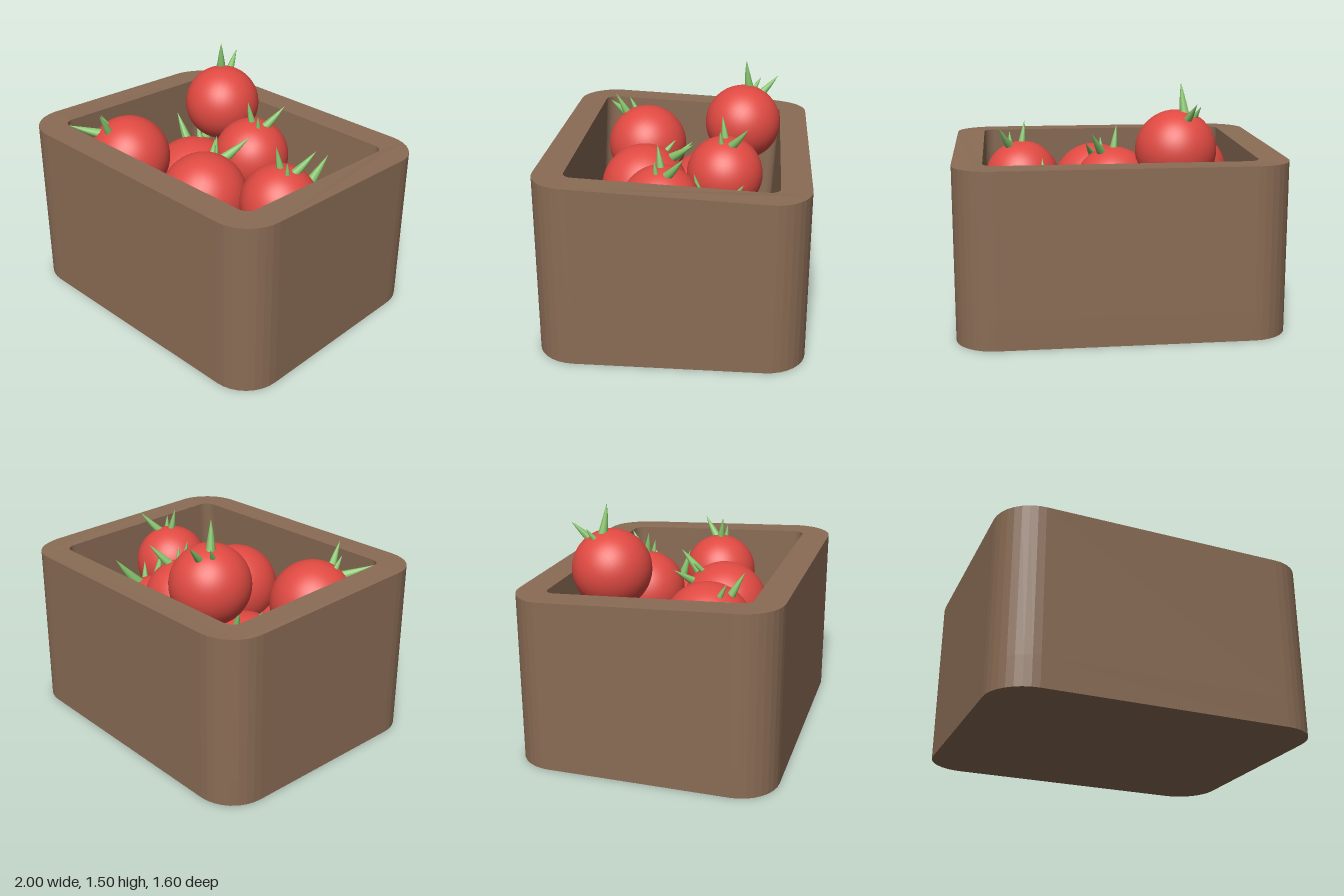
import * as THREE from 'three';

const wood = new THREE.MeshStandardMaterial({ color: 0x8a6c55 });
const red = new THREE.MeshStandardMaterial({ color: 0xe04a42 });
const green = new THREE.MeshStandardMaterial({ color: 0x86c46c });
const FLOOR = 0.18;
const vec = (a) => new THREE.Vector3(...a);

// rounded rectangle; hw, hd = half width, half depth, r = corner radius
function outline(path, hw, hd, r) {
  [[1, 1], [-1, 1], [-1, -1], [1, -1]].forEach(([sx, sz], i) =>
    path.absarc(sx * (hw - r), sz * (hd - r), r, i * Math.PI / 2, (i + 1) * Math.PI / 2));
  return path;
}

// upright prism from a shape, between two heights
function prism(shape, y0, y1) {
  const geo = new THREE.ExtrudeGeometry(shape, { depth: y1 - y0, bevelEnabled: false, curveSegments: 4 });
  return geo.rotateX(-Math.PI / 2).translate(0, y0, 0);
}

function makeCrate() {
  const crate = new THREE.Group();
  crate.name = 'crate';

  const base = new THREE.Mesh(prism(outline(new THREE.Shape(), 1, 0.8, 0.24), 0, FLOOR), wood);
  base.name = 'crateFloor';

  const shape = outline(new THREE.Shape(), 1, 0.8, 0.24);
  shape.holes.push(outline(new THREE.Path(), 0.82, 0.62, 0.07));
  const geo = prism(shape, FLOOR, 1.1);
  const p = geo.attributes.position;
  for (let i = 0; i < p.count; i++) {
    const x = p.getX(i), z = p.getZ(i);
    if (p.getY(i) > 0.6) {
      // rim dips gently towards the back
      p.setY(i, 1.105 - 0.05 * THREE.MathUtils.clamp((0.55 - z) / 1.1, 0, 1.1));
    } else if (Math.abs(x) < 0.83 && Math.abs(z) < 0.63) {
      // the cavity leans a little
      p.setZ(i, z + 0.05);
    }
  }
  geo.computeVertexNormals();
  const walls = new THREE.Mesh(geo, wood);
  walls.name = 'crateWalls';
  crate.add(base, walls);
  return crate;
}

// tapered, slightly curved leaf from base point a to tip b
function makeLeaf(a, b, radius) {
  const dir = vec(b).sub(vec(a));
  const unit = dir.clone().normalize();
  const length = dir.length() + 0.02;
  const geo = new THREE.ConeGeometry(radius, length, 10, 6).translate(0, length / 2, 0);
  geo.applyQuaternion(new THREE.Quaternion().setFromUnitVectors(new THREE.Vector3(0, 1, 0), unit));
  const p = geo.attributes.position;
  const v = new THREE.Vector3();
  for (let i = 0; i < p.count; i++) {
    v.fromBufferAttribute(p, i);
    const t = v.dot(unit) / length;
    // fuller middle, then a slight sag
    v.addScaledVector(unit, -t * length).multiplyScalar(1 + 0.5 * t).addScaledVector(unit, t * length);
    v.y -= 0.1 * length * t * (1 - t);
    p.setXYZ(i, v.x, v.y, v.z);
  }
  geo.computeVertexNormals();
  const leaf = new THREE.Mesh(geo, green);
  leaf.position.copy(vec(a)).addScaledVector(unit, -0.02);
  leaf.name = 'leaf';
  return leaf;
}

// rotation whose x axis follows the long leaf and whose xy plane holds the second leaf
function crownFrame(long, second) {
  const x = vec(long).normalize();
  const z = x.clone().cross(vec(second)).normalize();
  const y = z.clone().cross(x);
  return new THREE.Quaternion().setFromRotationMatrix(new THREE.Matrix4().makeBasis(x, y, z));
}

// one fruit shape, scaled to its radius and turned so its leaves point as given
const SIZE = 0.245;
const LONG_TIP = [0.15, 0.35, -0.15];
const SECOND_TIP = [-0.02, 0.38, 0.02];

function makeTomato(center, radius, long, second) {
  const tomato = new THREE.Group();
  tomato.name = 'tomato';
  const body = new THREE.Mesh(new THREE.SphereGeometry(SIZE, 40, 28), red);
  body.name = 'tomatoBody';
  tomato.add(
    body,
    makeLeaf([0.08, 0.22, -0.05], LONG_TIP, 0.03),
    makeLeaf([0, 0.235, 0], SECOND_TIP, 0.026),
    makeLeaf([0.075, 0.225, 0.02], [0.08, 0.31, 0.03], 0.019),
  );
  tomato.position.set(...center);
  tomato.scale.setScalar(radius / SIZE);
  tomato.quaternion.copy(crownFrame(long, second)).multiply(crownFrame(LONG_TIP, SECOND_TIP).invert());
  return tomato;
}

export function createModel() {
  const model = new THREE.Group();
  model.name = 'crateOfTomatoes';
  model.add(
    makeCrate(),
    // top of the pile
    makeTomato([-0.35, 1.088, -0.37], 0.248, [-0.025, 0.412, -0.015], [-0.08, 0.292, -0.215]),
    // middle layer
    makeTomato([0.02, 0.855, -0.27], 0.245, LONG_TIP, SECOND_TIP),
    makeTomato([0.575, 0.857, 0.08], 0.24, LONG_TIP, SECOND_TIP),
    makeTomato([0.09, 0.777, 0.24], 0.275, [0.08, 0.308, -0.31], [-0.17, 0.238, -0.28]),
    makeTomato([-0.555, 0.845, 0.3], 0.27, [-0.24, 0.245, 0.3], [-0.065, 0.32, 0.235]),
    // bottom layer
    makeTomato([-0.41, 0.52, -0.16], 0.325, [-0.26, 0.7, -0.66], [-0.48, 0.88, 0.04]),
    makeTomato([0.415, 0.515, -0.185], 0.325, [0.135, 0.475, -0.225], [0.055, 0.5, 0.03]),
    makeTomato([-0.26, 0.46, 0.4], 0.265, [-0.5, 0.7, -0.3], [-0.8, 0.5, -0.1]),
    makeTomato([0.41, 0.45, 0.36], 0.19, [0.1, 0.29, 0.1], [-0.03, 0.29, 0.03]),
  );
  return model;
}
